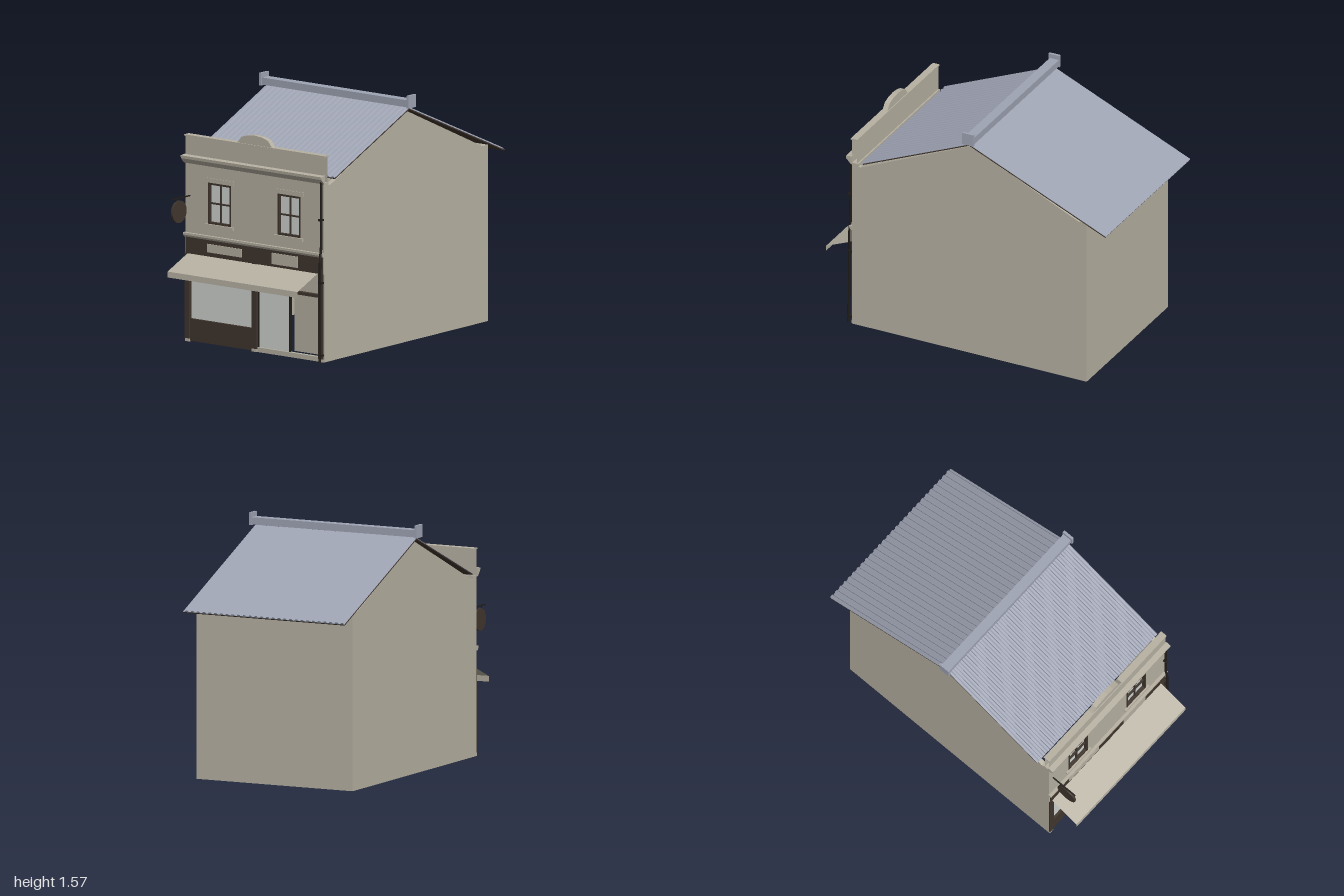
import * as THREE from 'three';

const mat = (name, color, side = THREE.FrontSide) => {
  const m = new THREE.MeshStandardMaterial({ color, side });
  m.name = name;
  return m;
};

export function createModel() {
  const root = new THREE.Group();
  root.name = 'shopBuilding';
  const render = mat('wall render', 0xb7b1a2);
  const sheet = mat('awning cloth', 0xb7b1a2, THREE.DoubleSide);
  const timber = mat('dark timber', 0x40362e);
  const iron = mat('black iron', 0x211d19);
  const glass = mat('pale glass', 0xd0d4d0);
  const metal = mat('roof metal', 0x9fa4b4);

  const add = (name, geo, material, parent = root) => {
    const m = new THREE.Mesh(geo, material);
    m.name = name;
    parent.add(m);
    return m;
  };
  // Box given by its limits on each axis
  const box = (name, material, x0, x1, y0, y1, z0, z1, parent = root) => {
    const g = new THREE.BoxGeometry(x1 - x0, y1 - y0, z1 - z0);
    g.translate((x0 + x1) / 2, (y0 + y1) / 2, (z0 + z1) / 2);
    return add(name, g, material, parent);
  };
  const polygon = (pts) => new THREE.Shape(pts.map(([x, y]) => new THREE.Vector2(x, y)));
  const extrude = (shape, depth) =>
    new THREE.ExtrudeGeometry(shape, { depth, bevelEnabled: false });
  // Profile drawn in (z, y), swept along x from x0 to x1
  const sweepX = (pts, x0, x1) =>
    extrude(polygon(pts), x1 - x0).rotateY(-Math.PI / 2).translate(x1, 0, 0);

  // Hollow shell: gable walls and back wall
  const gable = [[-0.855, 0], [0.79, 0], [0.79, 1.12], [0.73, 1.12],
    [-0.04, 1.465], [-0.8, 1.12], [-0.855, 1.12]];
  add('leftGableWall', sweepX(gable, 0.52, 0.55), render);
  add('rightGableWall', sweepX(gable, -0.55, -0.52), render);
  box('backWall', render, -0.52, 0.52, 0, 1.12, -0.855, -0.825);

  // Upper front wall with two window openings
  const windows = [[-0.368, -0.186], [0.182, 0.364]];
  const front = polygon([[-0.55, 0.56], [0.55, 0.56], [0.55, 1.14], [-0.55, 1.14]]);
  for (const [a, b] of windows) {
    front.holes.push(new THREE.Path([[a, 0.767], [a, 1.028], [b, 1.028], [b, 0.767]]
      .map(([x, y]) => new THREE.Vector2(x, y))));
  }
  add('upperFrontWall', extrude(front, 0.045).translate(0, 0, 0.747), render);

  // Sash windows
  for (const [a, b] of windows) {
    const w = new THREE.Group();
    w.name = 'upperWindow';
    root.add(w);
    const c = (a + b) / 2;
    box('pane', glass, a, b, 0.767, 1.028, 0.765, 0.772, w);
    for (const x of [a, b - 0.012]) box('frameSide', timber, x, x + 0.012, 0.767, 1.028, 0.765, 0.795, w);
    for (const y of [0.767, 1.016]) box('frameRail', timber, a, b, y, y + 0.012, 0.765, 0.794, w);
    box('mullion', timber, c - 0.004, c + 0.004, 0.767, 1.028, 0.768, 0.785, w);
    box('crossBar', timber, a, b, 0.893, 0.902, 0.768, 0.786, w);
    box('sill', render, a - 0.022, b + 0.022, 0.747, 0.767, 0.78, 0.806, w);
    box('lintel', render, a - 0.022, b + 0.022, 1.03, 1.058, 0.785, 0.796, w);
  }

  // Parapet, open at the ends, with coping and arched crest
  for (const [name, z] of [['parapetFront', 0.792], ['parapetBack', 0.757]]) {
    add(name, new THREE.PlaneGeometry(1.1, 0.18).translate(0, 1.22, z), sheet);
  }
  box('parapetCoping', render, -0.555, 0.555, 1.303, 1.312, 0.752, 0.798);
  add('parapetCrest', extrude(polygon([[-0.138, 1.31], [0.138, 1.31], [0.105, 1.352],
    [0.055, 1.367], [0, 1.372], [-0.055, 1.367], [-0.105, 1.352]]), 0.034).translate(0, 0, 0.758), render);

  // Mouldings across the front
  add('cornice', sweepX([[0.79, 1.13], [0.8, 1.135], [0.828, 1.165], [0.83, 1.183], [0.79, 1.187]],
    -0.557, 0.557), render);
  add('stringCourse', sweepX([[0.785, 0.664], [0.8, 0.664], [0.812, 0.678], [0.812, 0.692], [0.785, 0.692]],
    -0.553, 0.552), render);

  // Shop fascia with two blank panels
  box('fascia', timber, -0.54, 0.54, 0.56, 0.664, 0.745, 0.799);
  box('fasciaPanel', render, -0.37, -0.094, 0.587, 0.64, 0.798, 0.804);
  box('fasciaPanel', render, 0.144, 0.349, 0.577, 0.648, 0.798, 0.804);

  // Shopfront
  for (const [x0, x1] of [[-0.549, -0.514], [-0.02, 0.02], [0.51, 0.545]]) {
    box('pilaster', timber, x0, x1, 0.02, 0.56, 0.76, 0.8);
    box('pilasterBase', render, x0, x1, 0, 0.02, 0.76, 0.798);
  }
  box('stallRiser', timber, -0.515, -0.02, 0.005, 0.146, 0.765, 0.792);
  box('shopWindow', glass, -0.515, -0.02, 0.146, 0.56, 0.768, 0.776);
  box('threshold', render, 0.02, 0.51, 0, 0.03, 0.765, 0.79);
  box('doorGlass', glass, 0.02, 0.265, 0.03, 0.56, 0.768, 0.776);
  box('doorEdge', iron, 0.264, 0.271, 0.03, 0.41, 0.762, 0.782);
  box('doorHinge', iron, 0.02, 0.026, 0.03, 0.41, 0.762, 0.782);
  box('transomBar', timber, 0.02, 0.51, 0.405, 0.424, 0.762, 0.79);
  box('recessPanel', render, 0.27, 0.51, 0.03, 0.56, 0.725, 0.733);

  // Sloping awning with a hanging valance
  const awning = new THREE.PlaneGeometry(1.03, 1, 1, 2);
  const rows = [[0.56, 0.795], [0.475, 0.998], [0.438, 1.0]];
  const p = awning.attributes.position;
  for (let i = 0; i < p.count; i++) {
    const [y, z] = rows[Math.floor(i / 2)];
    p.setXYZ(i, p.getX(i) - 0.013, y, z);
  }
  const flatAwning = awning.toNonIndexed();
  flatAwning.computeVertexNormals();
  add('awning', flatAwning, sheet);

  // Round hanging sign on a bracket
  add('hangingSign', new THREE.CylinderGeometry(0.071, 0.071, 0.014, 32)
    .rotateZ(Math.PI / 2).translate(-0.512, 0.842, 0.906), timber);
  box('signBracket', iron, -0.516, -0.508, 0.924, 0.931, 0.79, 0.975);
  for (const z of [0.88, 0.932]) box('signHanger', iron, -0.514, -0.51, 0.895, 0.926, z - 0.002, z + 0.002);

  // Rainwater pipe
  const pipe = new THREE.CatmullRomCurve3([[1.15, 0.804], [0.72, 0.806], [0.66, 0.816], [0.4, 0.817], [0, 0.82]]
    .map(([y, z]) => new THREE.Vector3(0.537, y, z)), false, 'catmullrom', 0.2);
  add('downpipe', new THREE.TubeGeometry(pipe, 24, 0.008, 8), iron);
  for (const y of [0.04, 0.5, 0.9]) box('pipeClip', iron, 0.526, 0.548, y, y + 0.012, 0.79, 0.822);

  // Corrugated roof slopes over a dark lining
  const ribs = 28, half = 0.568, pitch = (2 * half) / ribs;
  const top = [];
  for (let i = 0; i < ribs; i++) {
    const x = -half + i * pitch;
    top.push([x, 0], [x + pitch * 0.35, 0], [x + pitch * 0.5, 0.009], [x + pitch * 0.85, 0.009]);
  }
  top.push([half, 0]);
  const profile = polygon([[-half, -0.003], [half, -0.003], ...top.reverse()]);
  const slope = (name, run, turn) => {
    const g = new THREE.Group();
    g.name = name;
    const angle = Math.atan(0.433), len = run / Math.cos(angle);
    const tilt = new THREE.Group();
    tilt.name = name + 'Pitch';
    tilt.rotation.x = angle;
    add('corrugatedSheet', extrude(profile, len), metal, tilt);
    box('roofLining', timber, -half, half, -0.01, -0.003, 0, len - 0.002, tilt);
    g.add(tilt);
    g.rotation.y = turn;
    g.position.set(0, 1.487, -0.04);
    root.add(g);
  };
  slope('frontRoof', 0.75, 0);
  slope('backRoof', 0.96, Math.PI);

  // Ridge cap with raised ends
  box('ridgeCap', metal, -0.576, 0.576, 1.495, 1.54, -0.075, -0.012);
  for (const s of [-1, 1]) {
    const x = s * 0.583;
    box('ridgeEnd', metal, x - 0.008, x + 0.008, 1.49, 1.57, -0.08, -0.003);
  }
  return root;
}
